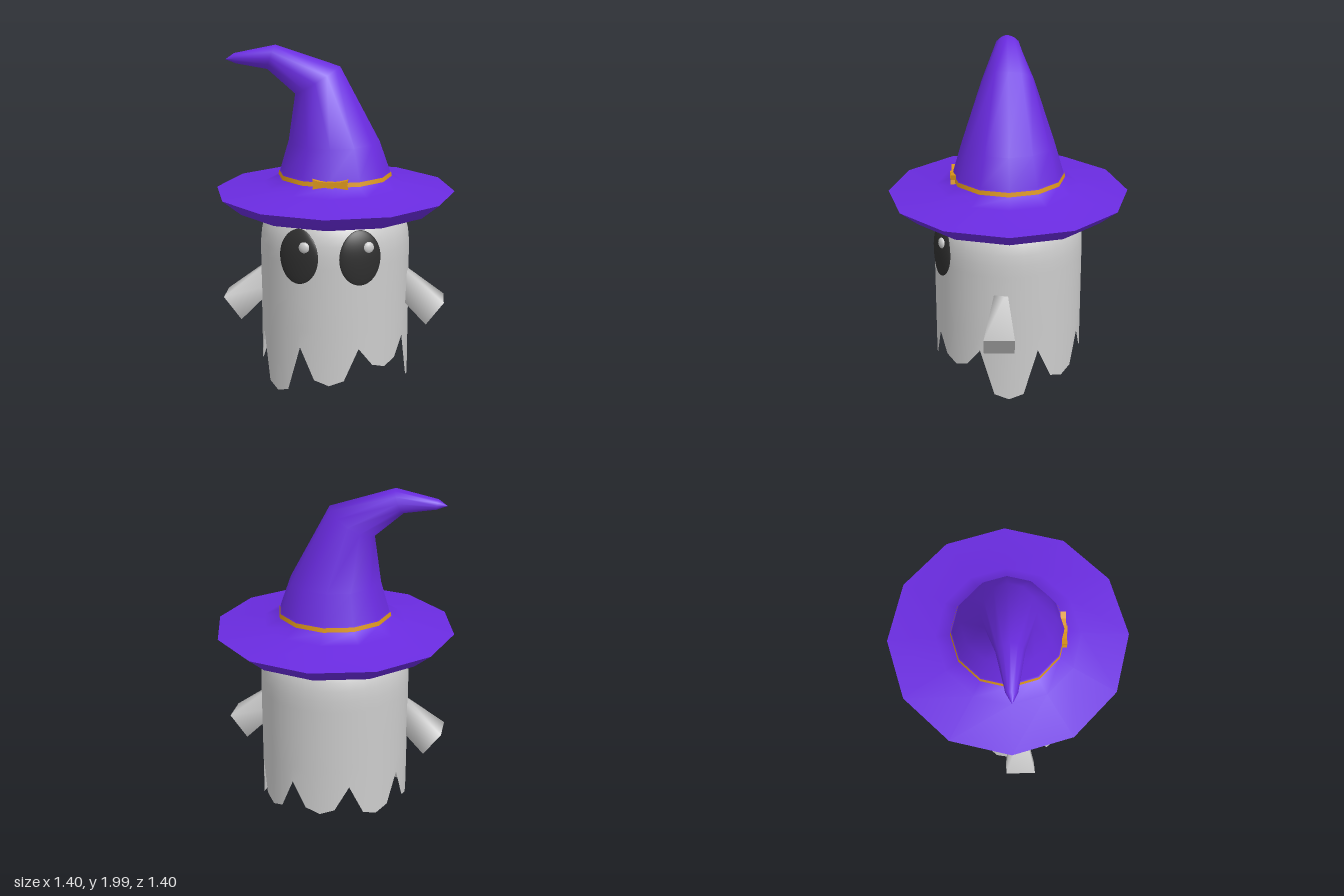
import * as THREE from 'three';

const material = (color, side = THREE.FrontSide) =>
  new THREE.MeshStandardMaterial({ color, side, roughness: 0.8 });
const grey = material(0xcccccc, THREE.DoubleSide);
const purple = material(0x6a2be0, THREE.DoubleSide);
const gold = material(0xd9941a);
const black = material(0x2e2e2e);

function add(parent, name, geometry, mat) {
  const mesh = new THREE.Mesh(geometry, mat);
  mesh.name = name;
  parent.add(mesh);
  return mesh;
}

// Skin over a stack of closed rings, with smooth normals
function loft(rings) {
  const n = rings[0].length;
  const index = [];
  for (let i = 0; i < rings.length - 1; i++) {
    for (let j = 0; j < n; j++) {
      const a = i * n + j, b = i * n + (j + 1) % n;
      index.push(a, a + n, b, b, a + n, b + n);
    }
  }
  const geometry = new THREE.BufferGeometry();
  geometry.setAttribute('position', new THREE.Float32BufferAttribute(rings.flat(2), 3));
  geometry.setIndex(index);
  geometry.computeVertexNormals();
  return geometry;
}

// Ring of n points; each point is made by a rule from its cosine and sine
const ring = (n, rule, start = 0) => Array.from({ length: n }, (_, j) => {
  const a = start + j * 2 * Math.PI / n;
  return rule(Math.cos(a), Math.sin(a), j);
});

// Straight sides that round over into a dome
const BODY_R = 0.44;
const bodyRadius = (y) =>
  BODY_R * Math.cbrt(Math.max(0, 1 - (Math.max(0, y - 0.8) / 0.36) ** 3));

function buildBody(parent) {
  // Lowest point of each cloth tooth, from +x round through the front
  const teeth = [0.01, 0.18, 0.1, 0.01, 0.09, 0.11, 0.14, 0.1];
  const hem = (j) => {
    if (j % 4 === 2) return 0.32;
    return teeth[Math.round(j / 4) % 8] + (j % 4 ? 0.03 : 0);
  };
  const heights = [0.42, 0.6, 0.8, 0.87, 0.93, 0.98, 1.03, 1.08, 1.12, 1.145, 1.16];
  const rings = [ring(32, (c, s, j) => [BODY_R * c, hem(j), BODY_R * s])];
  for (const y of heights) {
    const r = bodyRadius(y);
    rings.push(ring(32, (c, s) => [r * c, y, r * s]));
  }
  add(parent, 'body', loft(rings), grey);
}

function buildArm(parent, side) {
  const arm = new THREE.Group();
  arm.name = side > 0 ? 'leftArm' : 'rightArm';
  // Square section, across the arm's sloping axis
  const section = (x, y, z, h, w) => ring(4, (c, s) => [
    side * (x + 0.6 * h * c * Math.SQRT2),
    y + 0.8 * h * c * Math.SQRT2,
    z - side * w * s * Math.SQRT2,
  ], Math.PI / 4);
  const root = section(0.37, 0.65, 0.045, 0.07, 0.035);
  const end = section(0.6, 0.45, 0.057, 0.086, 0.0875);
  add(arm, 'sleeve', loft([root, end]), grey);
  add(arm, 'sleeveEnd', loft([end, section(0.6, 0.45, 0.057, 0, 0)]), grey);
  parent.add(arm);
}

function buildEye(parent, side) {
  const eye = new THREE.Group();
  eye.name = side > 0 ? 'leftEye' : 'rightEye';
  // Flattened ball wrapped round the body
  const geometry = new THREE.SphereGeometry(1, 32, 24);
  const p = geometry.attributes.position;
  for (let i = 0; i < p.count; i++) {
    const y = 0.86 + 0.157 * p.getY(i);
    const angle = side * 0.42 + 0.285 * p.getX(i);
    const r = bodyRadius(y) + 0.014 * p.getZ(i);
    p.setXYZ(i, r * Math.sin(angle), y, r * Math.cos(angle));
  }
  geometry.computeVertexNormals();
  add(eye, 'eyeball', geometry, black);

  const glint = add(eye, 'glint', new THREE.SphereGeometry(0.033, 16, 12), grey);
  const angle = side * 0.42 + 0.1;
  glint.position.set(0.44 * Math.sin(angle), 0.92, 0.44 * Math.cos(angle));
  glint.rotation.y = angle;
  glint.scale.z = 0.6;
  parent.add(eye);
}

function buildHat(parent) {
  const hat = new THREE.Group();
  hat.name = 'hat';
  const round = (r, y) => ring(12, (c, s) => [r * c, y, r * s]);
  // Tilted ring from its left and right ends and its half depth
  const tilted = ([x0, y0, x1, y1, depth]) => ring(12, (c, s) => [
    (x0 + x1) / 2 + c * (x1 - x0) / 2,
    (y0 + y1) / 2 + c * (y1 - y0) / 2,
    depth * s,
  ]);

  add(hat, 'brimUnderside', loft([
    round(0.37, 1.02), round(0.59, 1.07), round(0.7, 1.16),
  ]), purple);
  add(hat, 'brimAndCone', loft([
    round(0.7, 1.16), round(0.42, 1.2), round(0.33, 1.24), round(0.32, 1.28),
    ...[
      [-0.27, 1.45, 0.26, 1.45, 0.27],
      [-0.23, 1.72, 0.03, 1.88, 0.15],
      [-0.39, 1.86, -0.34, 2.0, 0.075],
      [-0.57, 1.89, -0.58, 1.95, 0.032],
      [-0.63, 1.913, -0.63, 1.915, 0.002],
    ].map(tilted),
  ]), purple);

  // Band and bow
  const band = add(hat, 'band',
    new THREE.CylinderGeometry(0.328, 0.333, 0.025, 12, 1, true), gold);
  band.position.y = 1.258;

  const half = [[0.02, 0.016], [0.06, 0.02], [0.1, 0.03], [0.094, 0], [0.1, -0.025],
    [0.06, -0.018], [0.02, -0.012]];
  const outline = [...half, ...half.map(([x, y]) => [-x, y]).reverse()];
  const bowShape = new THREE.Shape(outline.map(([x, y]) => new THREE.Vector2(x, y)));
  const bow = add(hat, 'bow',
    new THREE.ExtrudeGeometry(bowShape, { depth: 0.03, bevelEnabled: false }), gold);
  bow.position.set(0, 1.26, 0.302);
  const knot = add(hat, 'bowKnot', new THREE.BoxGeometry(0.036, 0.036, 0.03), gold);
  knot.position.set(0, 1.261, 0.322);
  parent.add(hat);
}

export function createModel() {
  const model = new THREE.Group();
  model.name = 'ghost';
  buildBody(model);
  for (const side of [1, -1]) {
    buildArm(model, side);
    buildEye(model, side);
  }
  buildHat(model);
  return model;
}
